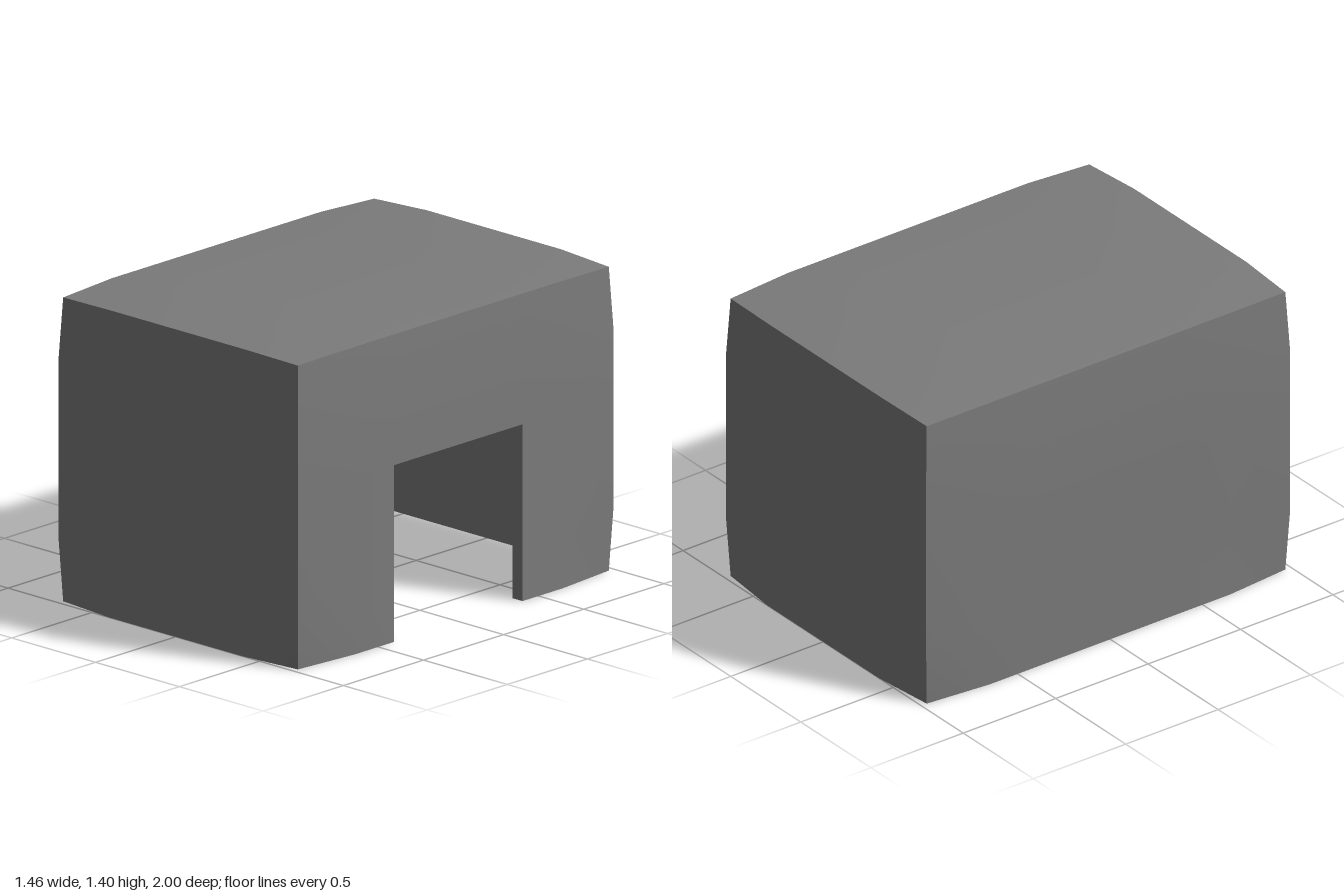
import * as THREE from 'three';
import { toCreasedNormals } from 'three/addons/utils/BufferGeometryUtils.js';

// Grid stops along x, y and z; the ends are the walls, the inner stops shape the bulge and the door
const STOPS = [
  [-0.73, -0.4, 0.4, 0.73],
  [0, 0.3, 0.8, 1.08, 1.4],
  [-1, -0.65, -0.4, 0.4, 0.65, 1],
];
const THICK = 0.06;
const BULGE = 0.015;
const last = STOPS.map((s) => s.length - 1);
const isEnd = (axis, i) => i === 0 || i === last[axis];

// Outer skin: the walls draw in slightly towards the edges of the box
function outerPoint(g) {
  const p = g.map((i, axis) => STOPS[axis][i]);
  const top = g[1] === last[1];
  const bottom = g[1] === 0;
  const endX = isEnd(0, g[0]);
  const endZ = isEnd(2, g[2]);
  const corner = endX && endZ;
  let inset = 0;
  if (corner) inset = top || bottom ? 2 * BULGE : BULGE;
  else if (top) inset = BULGE;
  if (endX) p[0] -= Math.sign(p[0]) * inset;
  if (endZ) p[2] -= Math.sign(p[2]) * inset;
  if (top) p[1] -= corner ? 0.025 : endX || endZ ? BULGE : 0;
  return p;
}

// Inner skin: a plain box
function innerPoint(g) {
  const p = g.map((i, axis) => STOPS[axis][i]);
  if (isEnd(0, g[0])) p[0] -= Math.sign(p[0]) * THICK;
  if (isEnd(2, g[2])) p[2] -= Math.sign(p[2]) * THICK;
  if (g[1] === last[1]) p[1] -= THICK + 0.005;
  return p;
}

function shellGeometry() {
  const positions = [];
  const edges = new Map();
  const quad = (a, b, c, d) => positions.push(...a, ...b, ...c, ...a, ...c, ...d);

  for (let axis = 0; axis < 3; axis++) {
    const u = (axis + 1) % 3;
    const v = (axis + 2) % 3;
    for (const side of [0, last[axis]]) {
      if (axis === 1 && side === 0) continue; // open underside
      for (let i = 0; i < last[u]; i++) {
        for (let j = 0; j < last[v]; j++) {
          // doorway in the +x wall
          if (axis === 0 && side > 0 && i < 2 && j === 2) continue;
          const cell = [[i, j], [i + 1, j], [i + 1, j + 1], [i, j + 1]].map(([a, b]) => {
            const g = [];
            g[axis] = side;
            g[u] = a;
            g[v] = b;
            return g;
          });
          if (side === 0) cell.reverse();
          quad(...cell.map(outerPoint));
          quad(...[...cell].reverse().map(innerPoint));
          cell.forEach((a, k) => {
            const b = cell[(k + 1) % 4];
            edges.set(a + '|' + b, [a, b]);
          });
        }
      }
    }
  }

  // Wall thickness along every open edge: bottom rim and door frame
  for (const [a, b] of edges.values()) {
    if (edges.has(b + '|' + a)) continue;
    quad(outerPoint(b), outerPoint(a), innerPoint(a), innerPoint(b));
  }

  const geometry = new THREE.BufferGeometry();
  geometry.setAttribute('position', new THREE.Float32BufferAttribute(positions, 3));
  return toCreasedNormals(geometry, 0.5);
}

export function createModel() {
  const group = new THREE.Group();
  group.name = 'shelter';
  const shell = new THREE.Mesh(
    shellGeometry(),
    new THREE.MeshStandardMaterial({ color: 0x7b7b7b })
  );
  shell.name = 'hollowShellWithDoorway';
  group.add(shell);
  return group;
}
